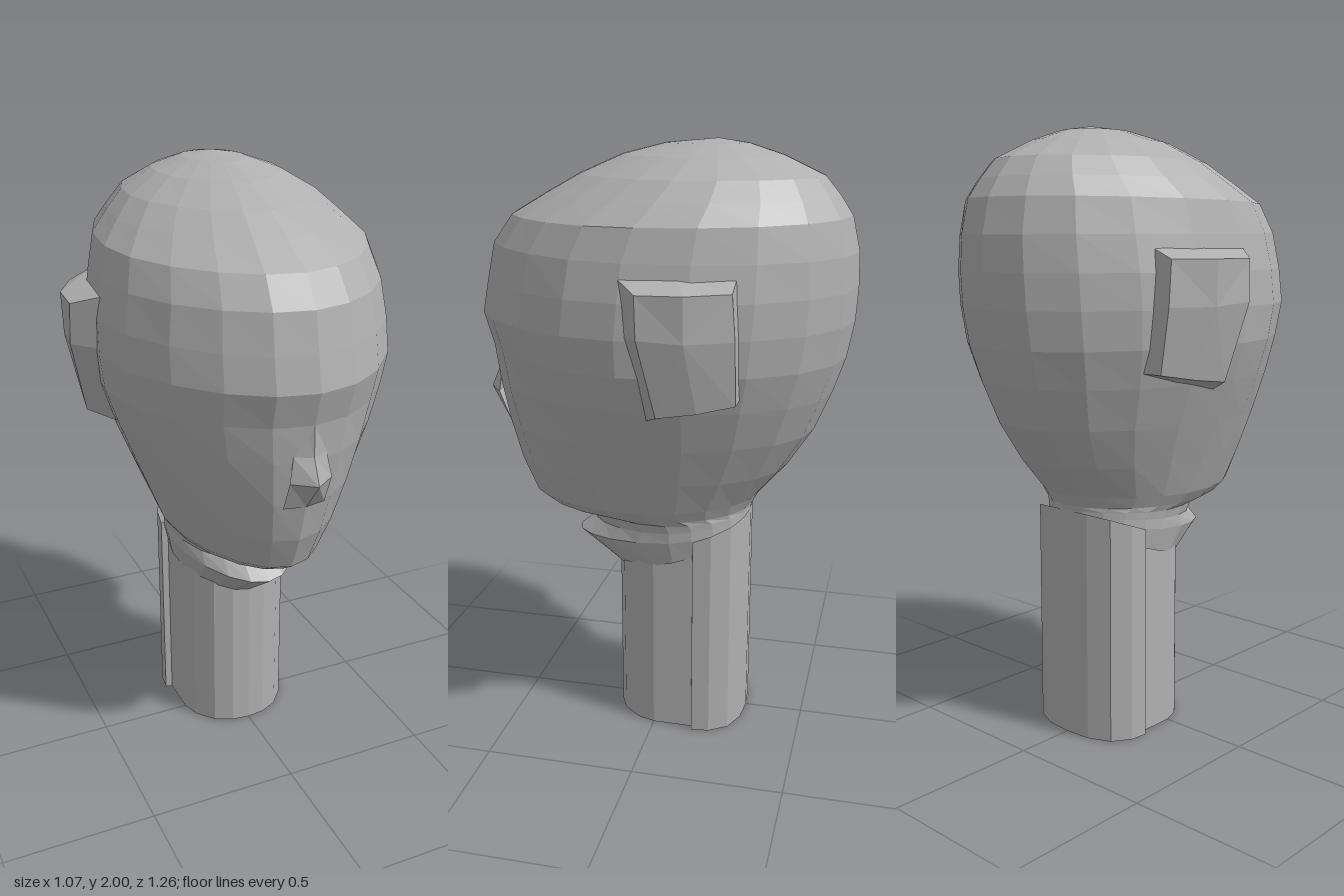
import * as THREE from 'three';

const grey = new THREE.MeshStandardMaterial({ color: 0xb0b0b0, flatShading: true, side: THREE.DoubleSide });
grey.name = 'plain grey';

// Surface through closed loops of points, with optional centre points closing either end
function loft(name, loops, start, end) {
  const n = loops[0].length;
  const pos = loops.flat(2);
  const index = [];
  for (let i = 0; i < loops.length - 1; i++) {
    for (let j = 0; j < n; j++) {
      const k = (j + 1) % n;
      const a = i * n + j, b = (i + 1) * n + j, c = (i + 1) * n + k, d = i * n + k;
      index.push(a, b, c, a, c, d);
    }
  }
  if (start) {
    const p = pos.length / 3;
    pos.push(...start);
    for (let j = 0; j < n; j++) index.push(p, j, (j + 1) % n);
  }
  if (end) {
    const p = pos.length / 3, o = (loops.length - 1) * n;
    pos.push(...end);
    for (let j = 0; j < n; j++) index.push(p, o + (j + 1) % n, o + j);
  }
  const geo = new THREE.BufferGeometry();
  geo.setAttribute('position', new THREE.Float32BufferAttribute(pos, 3));
  geo.setIndex(index);
  const flat = geo.toNonIndexed();
  flat.computeVertexNormals();
  const mesh = new THREE.Mesh(flat, grey);
  mesh.name = name;
  return mesh;
}

// Head sections: front y, back y, front z, back z, half width, z of the widest point
const SECTIONS = [
  [1.985, 1.985, 0, -0.27, 0.1, -0.15],
  [1.95, 1.95, 0.14, -0.38, 0.2, -0.12],
  [1.89, 1.89, 0.28, -0.51, 0.3, -0.09],
  [1.83, 1.83, 0.39, -0.56, 0.36, -0.05],
  [1.76, 1.77, 0.51, -0.6, 0.42, 0],
  [1.67, 1.66, 0.575, -0.625, 0.445, 0.03],
  [1.55, 1.55, 0.6, -0.628, 0.465, 0.04],
  [1.44, 1.44, 0.622, -0.622, 0.468, 0.05],
  [1.33, 1.32, 0.588, -0.6, 0.455, 0.05],
  [1.21, 1.2, 0.575, -0.56, 0.415, 0.05],
  [1.06, 1.07, 0.55, -0.505, 0.36, 0.04],
  [0.92, 0.94, 0.515, -0.42, 0.305, 0.03],
  [0.8, 0.83, 0.465, -0.325, 0.258, 0.02],
  [0.77, 0.79, 0.42, -0.303, 0.235, 0],
  [0.75, 0.775, 0.27, -0.3, 0.22, -0.05],
  [0.71, 0.76, 0.25, -0.3, 0.215, -0.06],
  [0.66, 0.74, 0.31, -0.3, 0.215, -0.06],
  [0.55, 0.7, 0.16, -0.3, 0.2, -0.07],
];

function section([yf, yb, zf, zb, w, zc]) {
  const n = 20;
  return Array.from({ length: n }, (_, j) => {
    const a = (j / n) * Math.PI * 2, s = Math.sin(a), c = Math.cos(a);
    const taper = 1 - 0.14 * Math.max(0, c) ** 2;   // face narrows toward the front
    return [w * s * taper, yb + (yf - yb) * (1 + c) / 2, zc + c * (c > 0 ? zf - zc : zc - zb)];
  });
}

// Neck outline, front to back, with a step where the rear half is wider
const NECK = [[0, 0.155], [0.06, 0.148], [0.12, 0.12], [0.17, 0.06], [0.19, 0], [0.19, -0.135],
  [0.213, -0.14], [0.205, -0.2], [0.165, -0.26], [0.09, -0.293], [0, -0.3]];
const neckLoop = (top) => {
  const half = NECK.map(([x, z]) => [x, top ? 0.6 + (0.155 - z) * 0.38 : 0, z]);
  const other = half.slice(1, -1).reverse().map(([x, y, z]) => [-x, y, z]);
  return [...half, ...other];
};

// Ear: a block with a bevelled front and bottom, on side s
const EAR_OUTER = [[0.53, 1.59, -0.03], [0.535, 1.46, -0.035], [0.48, 1.215, -0.08], [0.46, 1.23, -0.2],
  [0.42, 1.25, -0.31], [0.45, 1.45, -0.31], [0.45, 1.59, -0.3], [0.52, 1.59, -0.17]];
const EAR_BASE = [[0.45, 1.62, 0.04], [0.46, 1.45, 0.02], [0.395, 1.18, -0.03], [0.37, 1.21, -0.17],
  [0.33, 1.25, -0.31], [0.35, 1.45, -0.31], [0.36, 1.63, -0.3], [0.42, 1.625, -0.13]];
function ear(s) {
  const side = (pts) => {
    const out = pts.map(([x, y, z]) => [x * s, y, z]);
    return s > 0 ? out : out.reverse();
  };
  return loft(s > 0 ? 'leftEar' : 'rightEar', [side(EAR_OUTER), side(EAR_BASE)], [0.515 * s, 1.45, -0.17]);
}

export function createModel() {
  const group = new THREE.Group();
  group.name = 'mannequinHead';
  group.add(loft('head', SECTIONS.map(section), [0, 2, -0.17], [0, 0.64, -0.08]));
  group.add(loft('neck', [neckLoop(true), neckLoop(false)]));
  group.add(ear(1), ear(-1));

  // Nose: narrow bridge widening to the tip, with a flat underside
  group.add(loft('nose', [
    [[-0.03, 1.33, 0.57], [0, 1.33, 0.588], [0.03, 1.33, 0.57]],
    [[-0.055, 1.23, 0.565], [0, 1.23, 0.592], [0.055, 1.23, 0.565]],
    [[-0.07, 1.15, 0.575], [0, 1.15, 0.628], [0.07, 1.15, 0.575]],
    [[-0.07, 1.05, 0.535], [0, 1.05, 0.55], [0.07, 1.05, 0.535]],
  ]));
  return group;
}
